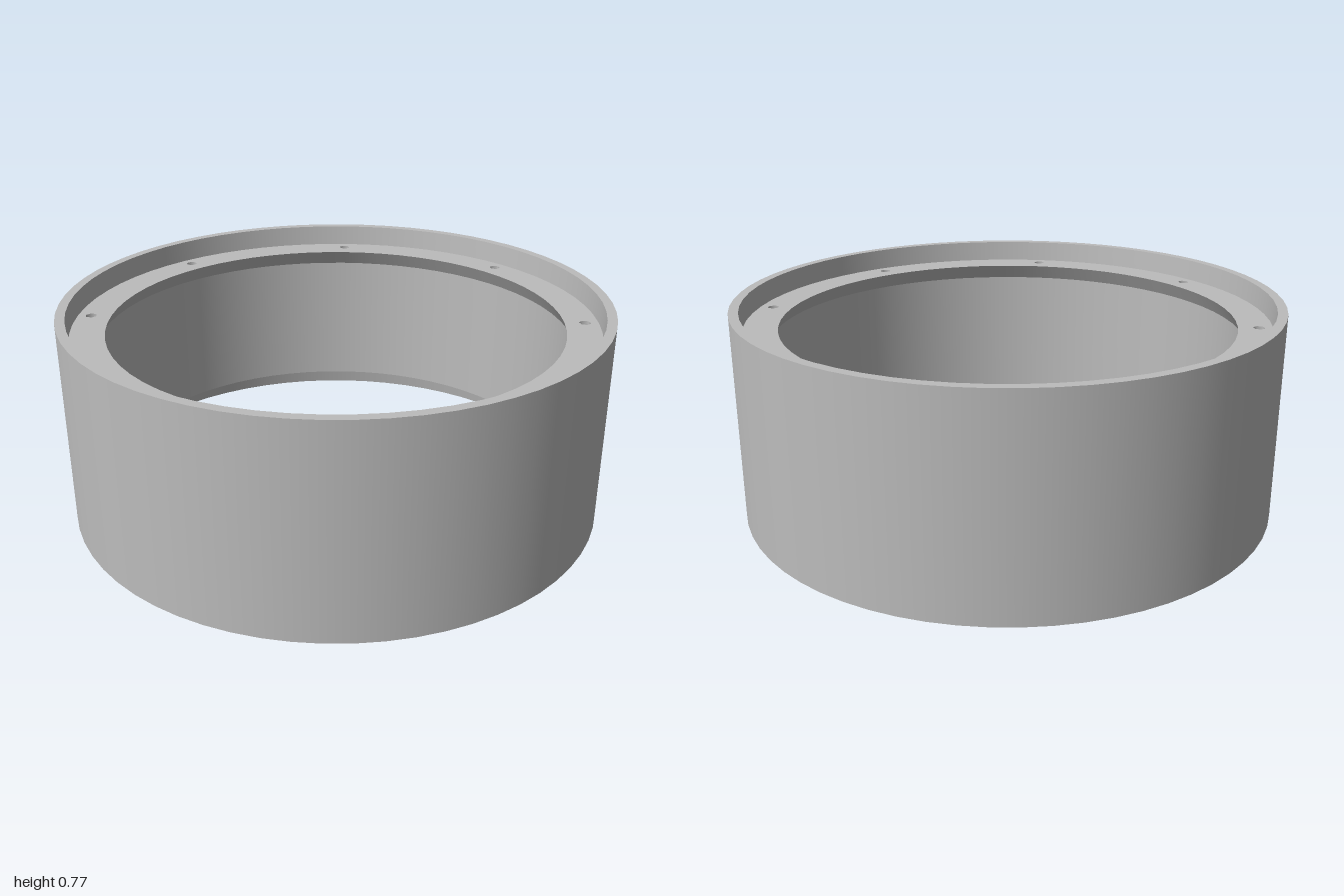
import * as THREE from 'three';

const SEGMENTS = 64;
const FLANGE_Y = 0.69, FLANGE_OUTER = 0.96, FLANGE_INNER = 0.835;
const HOLE_COUNT = 8, HOLE_CIRCLE = 0.91, HOLE_R = 0.022, HOLE_DEPTH = 0.06, HOLE_SIDES = 6;

// Points of a regular polygon around (cx, cy)
function ring(r, n, cx = 0, cy = 0) {
  return Array.from({ length: n }, (_, i) => {
    const a = (i / n) * Math.PI * 2;
    return new THREE.Vector2(cx + r * Math.cos(a), cy + r * Math.sin(a));
  });
}

export function createModel() {
  const group = new THREE.Group();
  group.name = 'mountingRing';
  const grey = new THREE.MeshStandardMaterial({ color: 0xbcbcbc });
  grey.name = 'grey';

  // One turned surface between two profile points, so edges stay sharp
  function band(name, from, to, segments = SEGMENTS, parent = group) {
    const points = [new THREE.Vector2(...from), new THREE.Vector2(...to)];
    const mesh = new THREE.Mesh(new THREE.LatheGeometry(points, segments), grey);
    mesh.name = name;
    parent.add(mesh);
  }

  // Body: outer wall, then over the rim and down the inside
  band('outerWall', [1, 0], [1, 0.77]);
  band('topRim', [1, 0.77], [0.965, 0.77]);
  band('topRecessWall', [0.965, 0.77], [FLANGE_OUTER, FLANGE_Y]);
  band('flangeChamfer', [FLANGE_INNER, FLANGE_Y], [0.87, 0.63]);
  band('innerWall', [0.87, 0.63], [0.87, 0.1]);
  band('bottomLedge', [0.87, 0.1], [0.97, 0.1]);
  band('bottomRecessWall', [0.97, 0.1], [0.99, 0]);
  band('bottomRim', [0.99, 0], [1, 0]);

  // Flange face pierced by the screw holes
  const face = new THREE.Shape(ring(FLANGE_OUTER, SEGMENTS));
  face.holes.push(new THREE.Path(ring(FLANGE_INNER, SEGMENTS)));
  for (const centre of ring(HOLE_CIRCLE, HOLE_COUNT)) {
    face.holes.push(new THREE.Path(ring(HOLE_R, HOLE_SIDES, centre.x, centre.y)));

    // Blind socket below each hole
    const socket = new THREE.Group();
    socket.name = 'screwHole';
    socket.position.set(centre.x, FLANGE_Y, -centre.y);
    socket.rotation.y = Math.PI / 2;
    band('holeWall', [HOLE_R, 0], [HOLE_R, -HOLE_DEPTH], HOLE_SIDES, socket);
    band('holeFloor', [HOLE_R, -HOLE_DEPTH], [0, -HOLE_DEPTH], HOLE_SIDES, socket);
    group.add(socket);
  }
  const flange = new THREE.Mesh(new THREE.ShapeGeometry(face).rotateX(-Math.PI / 2), grey);
  flange.name = 'flangeFace';
  flange.position.y = FLANGE_Y;
  group.add(flange);

  return group;
}
